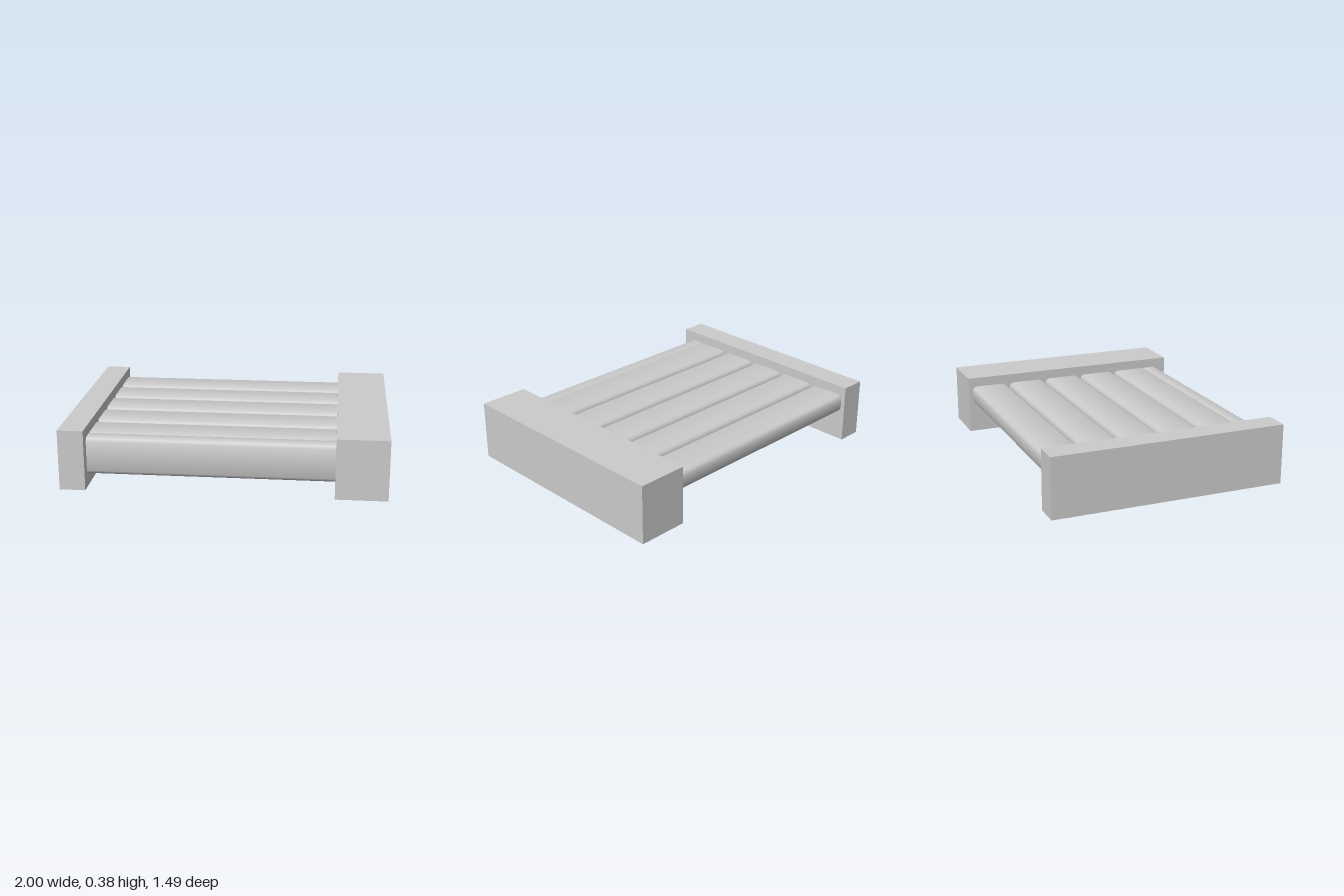
import * as THREE from 'three';

const material = new THREE.MeshStandardMaterial({ color: 0xcccccc });

const DEPTH = 1.49, HEIGHT = 0.38;
const INNER_LEFT = 0.68, INNER_RIGHT = -0.84;

function add(group, name, geometry, x, y, z) {
  const mesh = new THREE.Mesh(geometry, material);
  mesh.name = name;
  mesh.position.set(x, y, z);
  group.add(mesh);
}

// Soft-edged bar along x: a 12-sided tube whose corners are pushed out to a rounded rectangle
function slatGeometry(length, height, depth, radius) {
  const geometry = new THREE.CylinderGeometry(1, 1, length, 12, 1, true, Math.PI / 12);
  geometry.rotateZ(Math.PI / 2);
  const p = geometry.attributes.position, n = geometry.attributes.normal;
  for (let i = 0; i < p.count; i++) {
    const ny = n.getY(i), nz = n.getZ(i);
    p.setY(i, Math.sign(ny) * (height / 2 - radius) + radius * ny);
    p.setZ(i, Math.sign(nz) * (depth / 2 - radius) + radius * nz);
  }
  return geometry;
}

export function createModel() {
  const group = new THREE.Group();
  group.name = 'slattedSeat';

  // Side blocks, the left one wider
  const sides = [['leftArm', INNER_LEFT, 1], ['rightArm', -1, INNER_RIGHT]];
  for (const [name, x0, x1] of sides) {
    add(group, name, new THREE.BoxGeometry(x1 - x0, HEIGHT, DEPTH), (x0 + x1) / 2, HEIGHT / 2, 0);
  }

  // Slats run slightly into both blocks
  const length = INNER_LEFT - INNER_RIGHT + 0.04;
  const middle = (INNER_LEFT + INNER_RIGHT) / 2;

  // Five flat slats
  const flat = slatGeometry(length, 0.12, 0.25, 0.035);
  for (let i = 0; i < 5; i++) {
    add(group, 'seatSlat' + (i + 1), flat, middle, 0.26, -0.593 + i * 0.266);
  }

  // Upright slat closing the front
  add(group, 'frontSlat', slatGeometry(length, 0.24, 0.12, 0.035), middle, 0.2, 0.623);

  return group;
}
